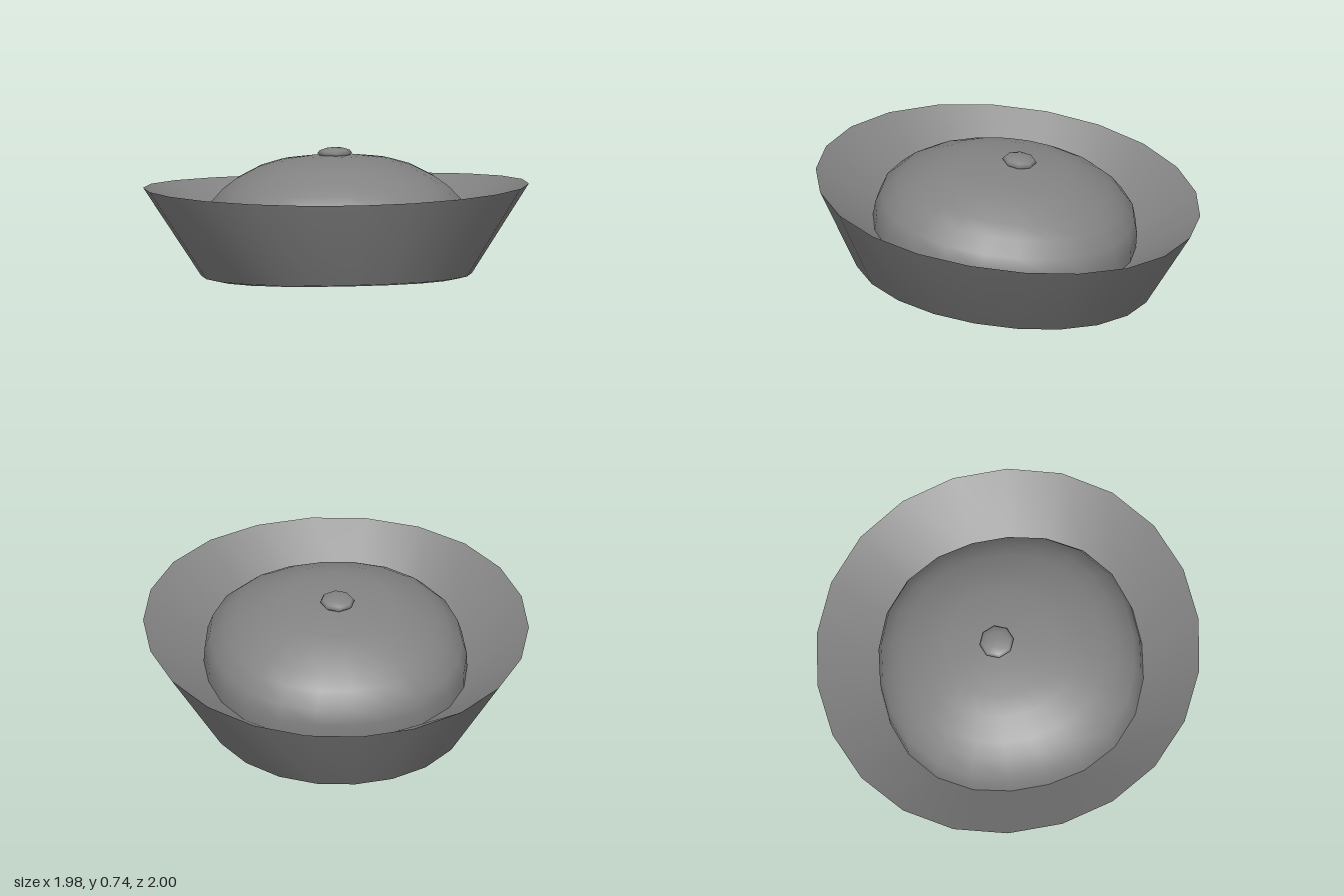
import * as THREE from 'three';

const SIDES = 22;
const material = new THREE.MeshStandardMaterial({ color: 0x838383, side: THREE.DoubleSide });

// Smooth skin through oval rings, listed bottom to top:
// [height, radiusX, radiusZ, centreZ, bulge on the diagonals, lift at the sides]
function loft(name, rings) {
  const positions = [], index = [];
  for (const [h, rx, rz, cz, bulge = 0, lift = 0] of rings) {
    for (let i = 0; i < SIDES; i++) {
      const a = (i / SIDES) * Math.PI * 2;
      const r = 1 + bulge * Math.sin(2 * a) ** 2;
      positions.push(r * rx * Math.sin(a), h + lift * Math.sin(a) ** 2, cz + r * rz * Math.cos(a));
    }
  }
  for (let j = 0; j < rings.length - 1; j++) {
    for (let i = 0; i < SIDES; i++) {
      const n = (i + 1) % SIDES;
      const a = j * SIDES + i, b = j * SIDES + n;
      index.push(a, b, a + SIDES, b, b + SIDES, a + SIDES);
    }
  }
  const geometry = new THREE.BufferGeometry();
  geometry.setAttribute('position', new THREE.Float32BufferAttribute(positions, 3));
  geometry.setIndex(index);
  geometry.computeVertexNormals();
  const mesh = new THREE.Mesh(geometry, material);
  mesh.name = name;
  return mesh;
}

export function createModel() {
  const hat = new THREE.Group();
  hat.name = 'sailorHat';

  const rim = [0.445, 1, 1.005, 0.034, 0.01, 0.022];
  const opening = [0, 0.652, 0.738, 0, 0.02, -0.01];

  // Flared, upturned brim with a small rolled lower edge
  hat.add(loft('brimOutside', [
    opening,
    [0.01, 0.7, 0.784, 0.008, 0.015, -0.008],
    rim,
  ]));

  // Inner face of the brim, sloping from the rim in to the crown
  hat.add(loft('brimInside', [rim, [0.22, 0.675, 0.68, 0.025, 0.04]]));

  // Inner headband rising from the opening
  hat.add(loft('headband', [opening, [0.24, 0.64, 0.67, 0.02, 0.01]]));

  // Domed crown, slightly squared, profile given as [radius share, height]
  const profile = [
    [1, 0.22], [0.995, 0.3], [0.96, 0.38], [0.86, 0.455], [0.755, 0.508],
    [0.58, 0.57], [0.42, 0.602], [0.2, 0.62], [0.001, 0.625],
  ];
  hat.add(loft('crown', profile.map(([s, h]) => [h, 0.682 * s, 0.688 * s, 0.028 * s, 0.04 * s])));

  // Button on top
  const button = new THREE.Mesh(new THREE.SphereGeometry(0.09, 8, 6), material);
  button.name = 'button';
  button.scale.y = 0.32;
  button.position.set(0, 0.635, -0.005);
  hat.add(button);

  // The hat sits tipped back
  hat.rotation.x = -0.11;
  hat.position.set(0, 0.083, 0.015);

  const model = new THREE.Group();
  model.add(hat);
  return model;
}
